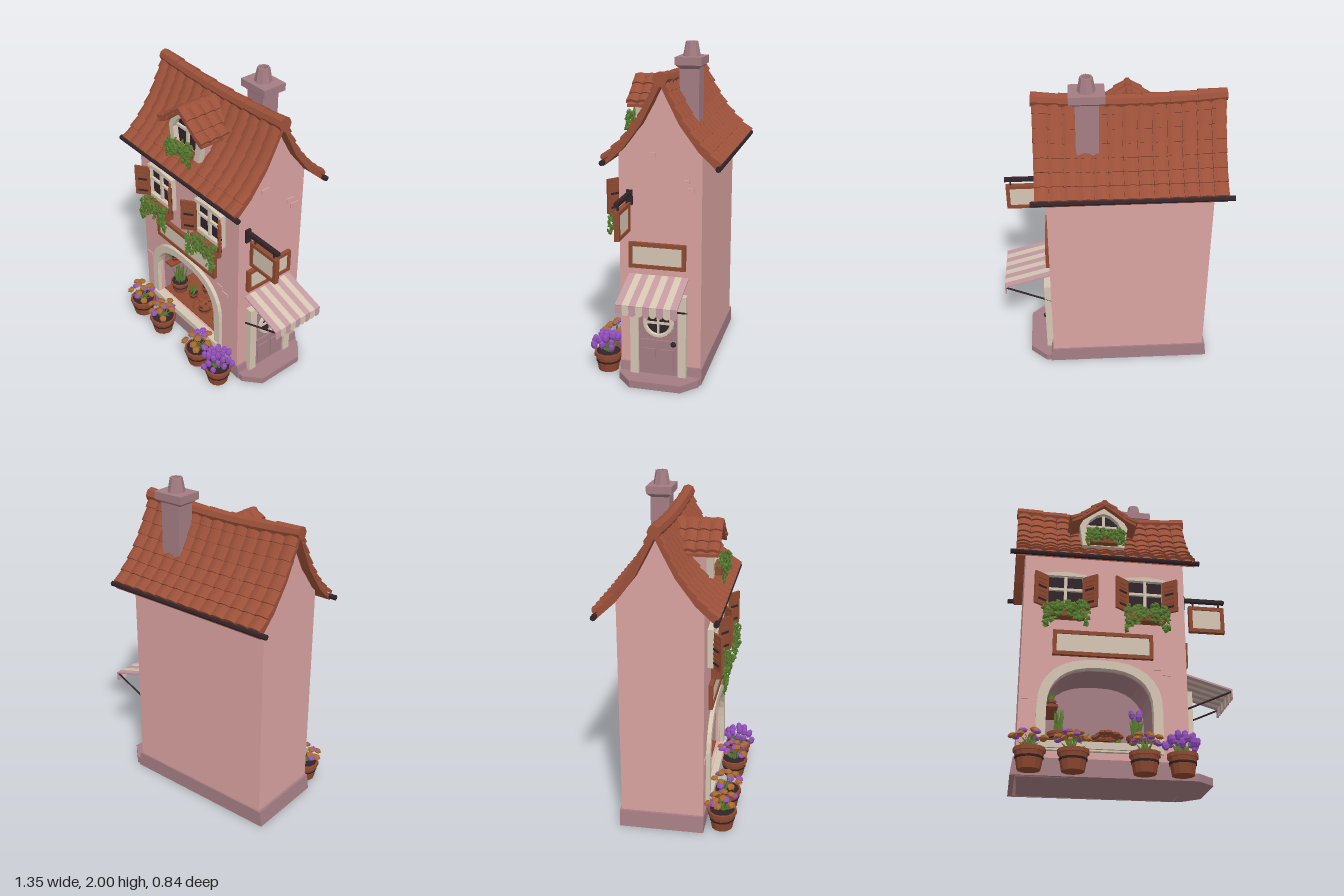
import * as THREE from 'three';
import { mergeGeometries } from 'three/addons/utils/BufferGeometryUtils.js';

const mat = (name, color, extra = {}) => Object.assign(new THREE.MeshStandardMaterial({ color, flatShading: true, ...extra }), { name });
const M = {
  wall: mat('pinkPlaster', 0xd9a3a1), stone: mat('mauveStone', 0xa47d84), roof: mat('terracotta', 0x9b5039),
  dark: mat('darkIron', 0x31242a), cream: mat('creamTrim', 0xd5c6b3), wood: mat('redBrownWood', 0x8f4a31),
  leaf: mat('leafGreen', 0x587a30), purple: mat('purplePetal', 0x9350bd), gold: mat('goldPetal', 0xa8692f),
  rose: mat('awningRose', 0xc39aa0),
};
let seed = 7;
const rnd = (a = 0, b = 1) => { seed = (seed * 16807) % 2147483647; return a + (b - a) * seed / 2147483647; };
const V = (x, y, z) => new THREE.Vector3(x, y, z);
const merge = list => mergeGeometries(list.map(g => (g.index ? g.toNonIndexed() : g)));

function add(parent, name, geo, material, x = 0, y = 0, z = 0) {
  const m = new THREE.Mesh(geo, material);
  m.name = name; m.position.set(x, y, z); parent.add(m);
  return m;
}
function group(parent, name, x = 0, y = 0, z = 0, ry = 0) {
  const g = new THREE.Group();
  g.name = name; g.position.set(x, y, z); g.rotation.y = ry; parent.add(g);
  return g;
}
const box = (p, name, m, w, h, d, x, y, z) => add(p, name, new THREE.BoxGeometry(w, h, d), m, x, y, z);
const shapeOf = pts => new THREE.Shape(pts.map(p => new THREE.Vector2(p[0], p[1])));
const extrude = (shape, depth, steps = 1) => new THREE.ExtrudeGeometry(shape, { depth, steps, bevelEnabled: false, curveSegments: 10 });
const extrudeX = (pts, length, steps) => extrude(shapeOf(pts), length, steps).rotateY(Math.PI / 2); // shape x = -z
function rod(p, name, a, b, r, m = M.dark) {
  const o = add(p, name, new THREE.CylinderGeometry(r, r, a.distanceTo(b), 6), m);
  o.position.copy(a).lerp(b, 0.5);
  o.quaternion.setFromUnitVectors(V(0, 1, 0), b.clone().sub(a).normalize());
}
// Flat-topped arch outline
function archPts(hw, y0, ys, top) {
  const pts = [[-hw, y0], [hw, y0]];
  for (let i = 0; i <= 16; i++) {
    const a = Math.PI * i / 16, c = Math.cos(a);
    pts.push([Math.sign(c) * Math.abs(c) ** 0.8 * hw, ys + Math.abs(Math.sin(a)) ** 0.8 * (top - ys)]);
  }
  return pts;
}
function ring(outer, inner, depth) {
  const s = shapeOf(outer); s.holes.push(shapeOf(inner));
  return extrude(s, depth);
}
const rect = (w, h) => [[-w / 2, -h / 2], [w / 2, -h / 2], [w / 2, h / 2], [-w / 2, h / 2]];

// Rows of bowed overlapping tiles down a curved slope (x across, z downhill)
function tiledSlope(pts, width, cols, rows, sag) {
  const curve = new THREE.CatmullRomCurve3(pts.map(([d, y]) => V(0, y, d))), tiles = [], w = width / cols;
  for (let r = 0; r < rows; r++) {
    const a = curve.getPointAt(r / rows), b = curve.getPointAt((r + 1) / rows);
    const len = a.distanceTo(b) * 1.2, ang = Math.atan2(a.y - b.y, b.z - a.z);
    for (let c = 0; c < cols; c++) {
      const x = -width / 2 + (c + 0.5) * w, t = new THREE.BoxGeometry(w * 0.98, 0.018, len, 4, 1, 1), p = t.attributes.position;
      for (let i = 0; i < p.count; i++) p.setY(i, p.getY(i) + 0.012 * Math.cos(Math.PI * p.getX(i) / w));
      t.rotateX(ang - 0.12 + rnd(-0.03, 0.03));
      tiles.push(t.translate(x, (a.y + b.y) / 2 + 0.012 + sag * (1 - r / rows) * (2 * x / width) ** 2, (a.z + b.z) / 2));
    }
  }
  return merge(tiles);
}
function ivy(parent, x, y, z, w, drop) {
  const leaves = [];
  const put = (lx, ly, lz) => leaves.push(new THREE.OctahedronGeometry(rnd(0.014, 0.022)).scale(1, 1, 0.45)
    .rotateX(rnd(-0.8, 0.8)).rotateZ(rnd(0, 3)).rotateY(rnd(-0.7, 0.7)).translate(lx, ly, lz));
  for (let i = 0; i < 40; i++) put(rnd(-w / 2, w / 2), rnd(-0.02, 0.03), rnd(-0.02, 0.03));
  for (let s = 0; s < 9; s++) {
    const u = s / 4 - 1, len = drop * (0.35 + 0.65 * Math.abs(u)) * rnd(0.8, 1);
    for (let d = 0; d < len; d += 0.012) put(u * w / 2 + rnd(-0.012, 0.012), -d, 0.025 + rnd(-0.012, 0.012));
  }
  add(parent, 'ivy', merge(leaves), M.leaf, x, y, z);
}
function pot(parent, name, x, y, z, r, h) {
  const g = group(parent, name, x, y, z);
  add(g, 'potBody', new THREE.CylinderGeometry(r * 0.95, r * 0.72, h, 12), M.wood, 0, h / 2, 0);
  add(g, 'potRim', new THREE.CylinderGeometry(r, r, h * 0.2, 12), M.wood, 0, h * 0.92, 0);
  add(g, 'potBand', new THREE.CylinderGeometry(r * 0.9, r * 0.87, h * 0.1, 12), M.dark, 0, h * 0.55, 0);
  add(g, 'soil', new THREE.CylinderGeometry(r * 0.85, r * 0.85, 0.004, 12), M.dark, 0, h * 1.02, 0);
  return g;
}
function blades(g, y, n, h, spread, width = 0.012) {
  const list = [];
  for (let i = 0; i < n; i++) {
    const l = h * rnd(0.7, 1.05);
    list.push(new THREE.ConeGeometry(width, l, 4).scale(1, 1, 0.45).translate(0, l / 2, 0)
      .rotateZ(rnd(0, spread)).rotateY(i * 2.4).translate(rnd(-0.02, 0.02), y, rnd(-0.02, 0.02)));
  }
  add(g, 'leaves', merge(list), M.leaf);
}
function blooms(g, m, n, y0, y1, r, tulip) {
  const list = [];
  for (let i = 0; i < n; i++) {
    const a = i * 2.4 + rnd(0, 0.6), q = r * Math.sqrt((i + 0.5) / n);
    const f = tulip ? new THREE.SphereGeometry(0.02, 6, 4).scale(1, 1.5, 1) : new THREE.IcosahedronGeometry(0.024).scale(1.1, 0.65, 1.1);
    list.push(f.rotateZ(-q * 4).rotateY(-a + Math.PI).rotateY(Math.PI)
      .translate(Math.cos(a) * q, y1 - (y1 - y0) * (q / r) ** 2 * rnd(0.4, 1), Math.sin(a) * q));
  }
  add(g, 'blooms', merge(list), m);
}
// Framed board facing +z
function sign(parent, name, w, h, x, y, z, ry = 0) {
  const g = group(parent, name, x, y, z, ry);
  add(g, 'signFrame', ring(rect(w, h), rect(w - 0.045, h - 0.045), 0.03).translate(0, 0, -0.015), M.wood);
  box(g, 'signPanel', M.cream, w - 0.04, h - 0.04, 0.014, 0, 0, 0);
}

export function createModel() {
  const house = new THREE.Group(); house.name = 'flowerShop';
  const AX = -0.12, RZ = -0.06, RX = -0.095;

  // Walls with an arched shop window
  const gable = [[-0.2, 0], [0.29, 0], [0.29, 1.41], [0.17, 1.56], [0.11, 1.67], [0.06, 1.77], [0.01, 1.67], [-0.05, 1.56], [-0.2, 1.38]];
  for (const x of [-0.58, 0.365]) add(house, 'gableWall', extrudeX(gable, 0.025), M.wall, x);
  box(house, 'backWall', M.wall, 0.97, 1.4, 0.02, RX, 0.7, -0.28);
  const hole = archPts(0.305, 0.19, 0.38, 0.635);
  add(house, 'frontWall', ring([[-0.46, 0], [0.51, 0], [0.51, 1.38], [-0.46, 1.38]], hole, 0.03), M.wall, AX, 0, 0.17);
  add(house, 'archTrim', ring(archPts(0.36, 0.14, 0.38, 0.685), hole, 0.04), M.cream, AX, 0, 0.185);
  box(house, 'shopSill', M.cream, 0.68, 0.04, 0.05, AX, 0.17, 0.215);
  add(house, 'shopRecess', ring(archPts(0.34, 0.15, 0.38, 0.67), hole, 0.27), M.stone, AX, 0, -0.1);
  add(house, 'shopBack', extrude(shapeOf(archPts(0.34, 0.15, 0.38, 0.67)), 0.01), M.stone, AX, 0, -0.105);
  box(house, 'shopFloor', M.wood, 0.61, 0.012, 0.27, AX, 0.19, 0.04);
  box(house, 'sideShelf', M.wood, 0.07, 0.015, 0.24, -0.39, 0.42, 0.04);
  for (const [y, z] of [[1.385, 0.01], [1.235, -0.19], [1.19, -0.22]]) box(house, 'wallBrick', M.wall, 0.014, 0.03, 0.055, 0.39, y, z);
  for (const [x, y] of [[0.22, 0.66], [0.27, 0.63], [-0.54, 0.45]]) box(house, 'wallBrick', M.wall, 0.05, 0.025, 0.012, x, y, 0.2);

  // Plinth and door step
  const plinth = new THREE.BoxGeometry(1.02, 0.1, 0.505), pp = plinth.attributes.position;
  for (let i = 0; i < pp.count; i++) if (pp.getY(i) > 0) pp.setX(i, pp.getX(i) * 0.975);
  add(house, 'plinth', plinth, M.stone, -0.0975, 0.05, -0.0475);
  add(house, 'doorStep', extrude(shapeOf([[0.38, -0.2], [0.44, -0.2], [0.54, -0.11], [0.54, 0.2], [0.44, 0.29], [0.38, 0.29]]), 0.045).rotateX(-Math.PI / 2), M.stone);

  // Main roof: deck, tiles, ridge caps, gutters
  const prof = [[0, 1.79], [0.05, 1.695], [0.11, 1.585], [0.22, 1.445], [0.335, 1.345]];
  const line = [...prof.slice(1).reverse().map(([d, y]) => [0.06 - d, y]), ...prof.map(([d, y]) => [0.06 + d, y])];
  const deck = extrudeX([...line, ...line.map(([x, y]) => [x, y - 0.03]).reverse()], 1.08, 8).translate(-0.54, 0, 0), dp = deck.attributes.position;
  for (let i = 0; i < dp.count; i++) dp.setY(i, dp.getY(i) + 0.025 * (dp.getX(i) / 0.54) ** 2 * (dp.getY(i) - 1.33) / 0.46);
  add(house, 'roofDeck', deck, M.roof, RX);
  for (const ry of [0, Math.PI]) {
    const side = group(house, 'roofSlope', RX, 0, RZ, ry);
    add(side, 'roofTiles', tiledSlope(prof, 1.09, 13, 7, 0.025), M.roof);
    add(side, 'gutter', new THREE.CylinderGeometry(0.016, 0.016, 1.15, 8).rotateZ(Math.PI / 2), M.dark, -0.005 * Math.cos(ry), 1.338, 0.335);
  }
  for (let i = 0; i < 7; i++) {
    const x = (i - 3) * 0.156;
    const cap = add(house, 'ridgeCap', new THREE.CylinderGeometry(0.037, 0.043, 0.165, 8).rotateZ(Math.PI / 2), M.roof, RX + x, 1.792 + 0.025 * (x / 0.54) ** 2, RZ);
    cap.rotation.z = x * 0.15 + rnd(-0.02, 0.02);
  }

  // Chimney
  const ch = group(house, 'chimney', 0.145, 0, -0.17);
  box(ch, 'stack', M.stone, 0.13, 0.42, 0.115, 0, 1.65, 0);
  add(ch, 'capFlare', new THREE.CylinderGeometry(0.14, 0.093, 0.025, 4).rotateY(Math.PI / 4).scale(1, 1, 0.78), M.stone, 0, 1.862, 0);
  box(ch, 'cap', M.stone, 0.2, 0.045, 0.155, 0, 1.895, 0);
  add(ch, 'chimneyPot', new THREE.LatheGeometry([[0.052, 1.915], [0.036, 2], [0.024, 2], [0.026, 1.93]].map(p => new THREE.Vector2(...p)), 8), M.stone);
  add(ch, 'flue', new THREE.CylinderGeometry(0.026, 0.026, 0.01, 8), M.roof, 0, 1.935, 0);

  // Dormer
  const dm = group(house, 'dormer', -0.105, 0, 0);
  const face = [[-0.13, 1.46], [0.13, 1.46], [0.15, 1.6], [0.12, 1.66], [0.06, 1.715], [0, 1.735], [-0.06, 1.715], [-0.12, 1.66], [-0.15, 1.6]];
  const opening = face.map(([x, y]) => [x * 0.73, 1.59 + (y - 1.59) * 0.74]);
  add(dm, 'dormerBody', extrude(shapeOf(face.map(([x, y]) => [x * 0.97, y - 0.005])), 0.2), M.wall, 0, 0, -0.04);
  add(dm, 'dormerGlass', extrude(shapeOf(opening), 0.006), M.dark, 0, 0, 0.16);
  add(dm, 'dormerTrim', ring(face, opening, 0.04), M.cream, 0, 0, 0.16);
  box(dm, 'dormerMullion', M.cream, 0.018, 0.2, 0.02, 0, 1.59, 0.172);
  box(dm, 'dormerBar', M.cream, 0.21, 0.015, 0.02, 0, 1.61, 0.172);
  box(dm, 'dormerPlanter', M.wood, 0.17, 0.05, 0.05, 0, 1.49, 0.215);
  ivy(dm, 0.01, 1.53, 0.235, 0.22, 0.11);
  const dProf = [[0, 1.755], [0.07, 1.705], [0.14, 1.65], [0.2, 1.62]];
  const dLine = [...dProf.slice(1).reverse().map(([d, y]) => [-d, y]), ...dProf];
  add(dm, 'dormerDeck', extrude(shapeOf([...dLine, ...dLine.map(([x, y]) => [x, y - 0.018]).reverse()]), 0.27), M.roof, 0, 0, -0.035);
  for (const s of [-1, 1]) add(group(dm, 'dormerSlope', 0, 0, 0.1, s * Math.PI / 2), 'dormerTiles', tiledSlope(dProf, 0.28, 4, 3, 0), M.roof);
  for (let i = 0; i < 3; i++) add(dm, 'dormerRidge', new THREE.CylinderGeometry(0.022, 0.026, 0.1, 7).rotateX(Math.PI / 2), M.roof, 0, 1.757, 0.01 + i * 0.09);

  // Shuttered windows with ivy boxes
  for (const x of [-0.335, 0.145]) {
    const w = group(house, 'window', x, 1.12, 0.2);
    box(w, 'glass', M.dark, 0.22, 0.21, 0.008, 0, 0, 0.004);
    add(w, 'windowTrim', ring([[-0.125, -0.12], [0.125, -0.12], [0.125, 0.11], [0, 0.125], [-0.125, 0.11]], rect(0.205, 0.19), 0.035), M.cream);
    box(w, 'mullion', M.cream, 0.018, 0.2, 0.02, 0, 0, 0.015);
    box(w, 'crossBar', M.cream, 0.21, 0.016, 0.02, 0, 0.01, 0.015);
    box(w, 'planter', M.wood, 0.23, 0.07, 0.06, 0, -0.155, 0.05);
    ivy(w, 0, -0.125, 0.075, 0.24, 0.15);
    for (const s of [-1, 1]) {
      const sh = group(w, 'shutter', s * 0.145, -0.015, 0.06, -s * 0.65);
      box(sh, 'shutterPanel', M.wood, 0.1, 0.21, 0.015, 0, 0, 0);
      for (const f of [-1, 1]) for (let i = 0; i < 6; i++) box(sh, 'slat', i % 3 ? M.wood : M.dark, 0.06, 0.012, 0.008, 0, -0.07 + i * 0.028, f * 0.008);
    }
  }

  // Signs
  sign(house, 'shopSign', 0.59, 0.155, -0.105, 0.787, 0.21);
  sign(house, 'doorSign', 0.34, 0.155, 0.4, 0.787, -0.03, Math.PI / 2);
  sign(house, 'hangingSign', 0.22, 0.17, 0.54, 1.025, 0.135);
  box(house, 'signBracket', M.dark, 0.265, 0.022, 0.026, 0.523, 1.152, 0.135);
  box(house, 'bracketPlate', M.dark, 0.015, 0.09, 0.035, 0.397, 1.13, 0.135);
  for (const x of [0.46, 0.62]) rod(house, 'signHook', V(x, 1.1, 0.135), V(x, 1.15, 0.135), 0.006);

  // Door with round window
  const door = group(house, 'door', 0.39, 0, -0.04, Math.PI / 2);
  box(door, 'doorLeaf', M.stone, 0.25, 0.47, 0.03, 0, 0.28, 0.015);
  for (const s of [-1, 1]) {
    box(door, 'doorJamb', M.cream, 0.05, 0.5, 0.045, s * 0.145, 0.295, 0.022);
    box(door, 'doorPanel', M.stone, 0.08, 0.14, 0.008, s * 0.055, 0.14, 0.033);
  }
  box(door, 'doorLintel', M.cream, 0.34, 0.045, 0.045, 0, 0.535, 0.022);
  box(door, 'doorRail', M.stone, 0.22, 0.02, 0.012, 0, 0.26, 0.034);
  add(door, 'doorGlass', new THREE.CircleGeometry(0.08, 20), M.dark, 0, 0.38, 0.032);
  add(door, 'doorRing', new THREE.TorusGeometry(0.082, 0.014, 6, 20), M.cream, 0, 0.38, 0.032);
  box(door, 'doorMuntin', M.cream, 0.014, 0.16, 0.012, 0, 0.38, 0.034);
  box(door, 'doorMuntin', M.cream, 0.16, 0.014, 0.012, 0, 0.38, 0.034);
  add(door, 'doorKnob', new THREE.SphereGeometry(0.017, 8, 6), M.dark, 0.095, 0.255, 0.045);

  // Striped awning with scalloped edge
  const flap = new THREE.Shape();
  flap.moveTo(0.02, 0.0); flap.lineTo(-0.02, 0.0); flap.lineTo(-0.02, -0.04);
  flap.absarc(0, -0.04, 0.02, Math.PI, Math.PI * 2, false); flap.closePath();
  for (let i = 0; i < 9; i++) {
    const z = 0.125 - i * 0.04, m = i % 2 ? M.cream : M.rose;
    box(house, 'awningStripe', m, 0.3, 0.01, 0.04, 0.532, 0.617, z).rotation.z = -0.29;
    add(house, 'awningScallop', extrude(flap, 0.008).rotateY(Math.PI / 2), m, 0.669, 0.575, z);
  }
  for (const z of [0.135, -0.205]) rod(house, 'awningStrut', V(0.39, 0.44, z), V(0.67, 0.565, z), 0.006);

  // Pavement flower pots
  [[-0.51, 10, 5, 0], [-0.275, 11, 5, 0], [0.115, 9, 8, 0], [0.325, 0, 20, 1]].forEach(([x, gold, purple, tulip]) => {
    const p = pot(house, 'flowerPot', x, 0, 0.305, 0.088, 0.115);
    blades(p, 0.11, 18, 0.1, 1.1);
    if (gold) blooms(p, M.gold, gold, 0.14, 0.225, 0.1, 0);
    blooms(p, M.purple, purple, 0.15, 0.225, tulip ? 0.1 : 0.09, tulip);
  });

  // Plants in the shop window
  for (const [x, z, r, h, n, flower] of [[-0.345, 0.1, 0.065, 0.16, 16, 0], [0.105, 0.1, 0.06, 0.15, 14, 1], [-0.22, 0.08, 0.035, 0.08, 10, 0], [0.0, 0.02, 0.035, 0.08, 10, 0], [-0.2, -0.03, 0.045, 0.07, 12, 0]]) {
    const p = pot(house, 'shopPlant', x, 0.196, z, r, r * 1.2);
    blades(p, r * 1.2, n, h, h > 0.1 ? 0.4 : 0.9, 0.014);
    if (flower) blooms(p, M.purple, 4, 0.17, 0.215, 0.05, 1);
  }
  const basket = pot(house, 'shopBasket', -0.07, 0.196, 0.1, 0.055, 0.05);
  blooms(basket, M.wood, 14, 0.05, 0.095, 0.08, 0);
  for (const z of [0.1, -0.02]) blades(pot(house, 'shelfPlant', -0.39, 0.428, z, 0.03, 0.035), 0.03, 12, 0.07, 0.8);
  return house;
}
